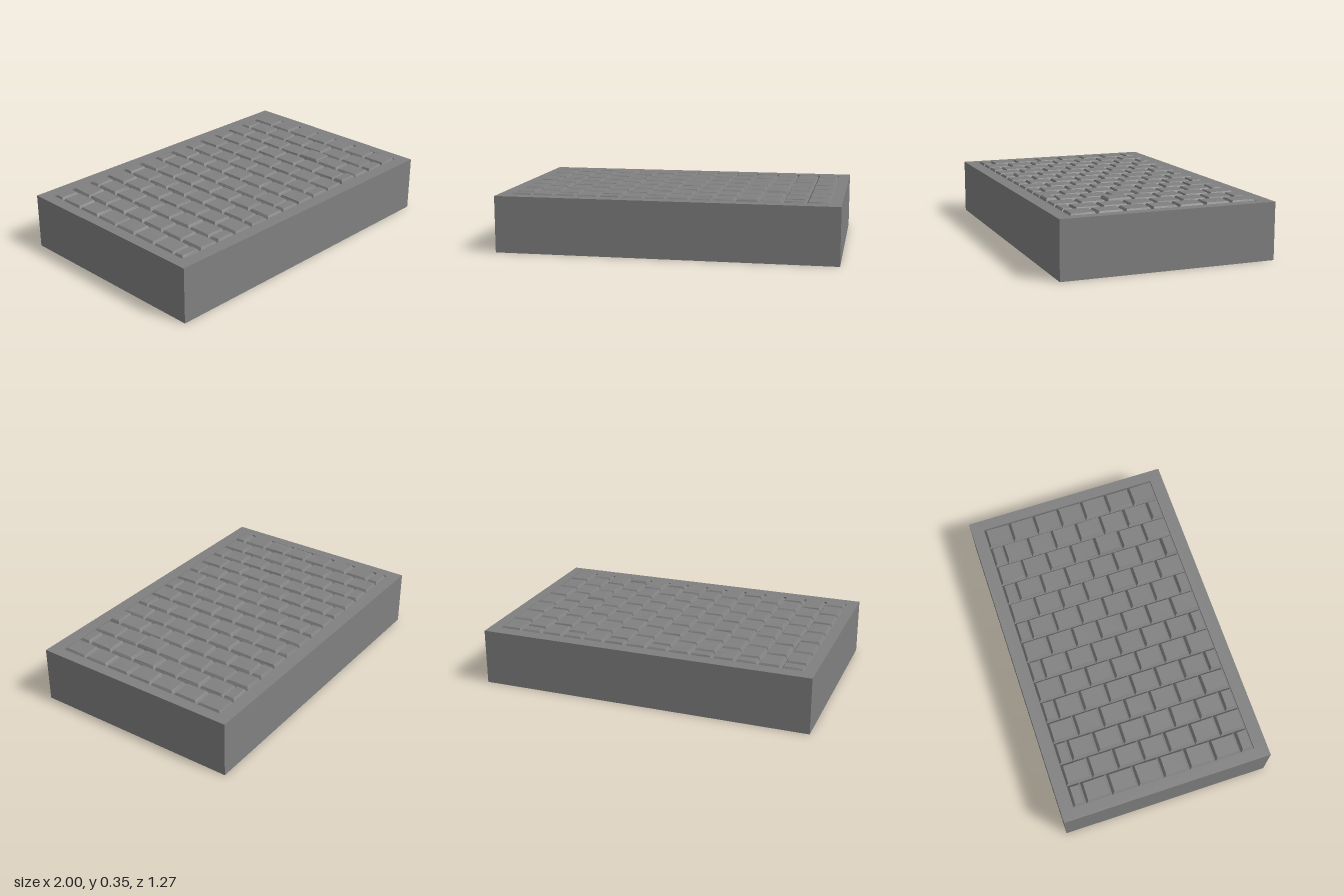
import * as THREE from 'three';

const stone = new THREE.MeshStandardMaterial({ color: 0x808080, side: THREE.DoubleSide });
stone.name = 'grey stone';

const HALF_X = 0.933, HALF_Z = 0.556;   // paved field
const RIM_Y = 0.335, FLOOR_Y = 0.32, BRICK_Y = 0.343;
const COLUMNS = 14, ROWS = 7;

// Small seeded generator returning -1..1
let seed = 11;
function jitter() {
  seed = (seed * 16807) % 2147483647;
  return (seed / 2147483647) * 2 - 1;
}

// Rectangle corners at height y, counter-clockwise from above
function ring(x0, x1, z0, z1, y) {
  return [[x0, y, z1], [x1, y, z1], [x1, y, z0], [x0, y, z0]];
}

// Faceted skin through successive four-corner rings, optionally closed on top
function loft(rings, cap) {
  const pos = [];
  const quad = (a, b, c, d) => pos.push(...a, ...b, ...c, ...a, ...c, ...d);
  for (let k = 0; k < rings.length - 1; k++) {
    for (let i = 0; i < 4; i++) {
      const j = (i + 1) % 4;
      quad(rings[k][i], rings[k][j], rings[k + 1][j], rings[k + 1][i]);
    }
  }
  if (cap) quad(...rings[rings.length - 1]);
  const geometry = new THREE.BufferGeometry();
  geometry.setAttribute('position', new THREE.Float32BufferAttribute(pos, 3));
  geometry.computeVertexNormals();
  return geometry;
}

// One hollow paving brick: steep side, soft bevel, slightly uneven top
function brick(x0, x1, z0, z1, lift) {
  const inset = (d, y) => ring(x0 + d, x1 - d, z0 + d, z1 - d, y);
  const shoulder = inset(0.009, RIM_Y + lift);
  const top = inset(0.014, BRICK_Y + lift);
  for (const p of top) {
    p[0] += jitter() * 0.002;
    p[1] += jitter() * 0.001;
    p[2] += jitter() * 0.002;
  }
  const mesh = new THREE.Mesh(loft([inset(0, FLOOR_Y), shoulder, top], true), stone);
  mesh.name = 'brick';
  return mesh;
}

export function createModel() {
  const model = new THREE.Group();
  model.name = 'pavedBlock';

  // Open-bottomed walls, flat rim and the lip around the paving
  const frame = new THREE.Mesh(loft([
    ring(-1, 1, -0.635, 0.635, 0),
    ring(-1, 1, -0.635, 0.635, RIM_Y),
    ring(-HALF_X, HALF_X, -HALF_Z, HALF_Z, RIM_Y),
    ring(-HALF_X, HALF_X, -HALF_Z, HALF_Z, FLOOR_Y),
  ], false), stone);
  frame.name = 'frame';
  model.add(frame);

  // Columns of bricks, every other column shifted by half a brick
  const paving = new THREE.Group();
  paving.name = 'paving';
  const w = (2 * HALF_X) / COLUMNS, len = (2 * HALF_Z) / ROWS;
  for (let c = 0; c < COLUMNS; c++) {
    const shifted = c % 2 === 0;
    const x0 = -HALF_X + c * w;
    for (let r = 0; r < ROWS + (shifted ? 1 : 0); r++) {
      const start = -HALF_Z + (r - (shifted ? 0.5 : 0)) * len;
      const z0 = Math.max(start, -HALF_Z), z1 = Math.min(start + len, HALF_Z);
      // A couple of bricks stand proud of the rest
      const proud = (c === 10 && r === 7) || (c === 11 && r === 4);
      paving.add(brick(x0, x0 + w, z0, z1, proud ? 0.007 : 0));
    }
  }
  model.add(paving);
  return model;
}
